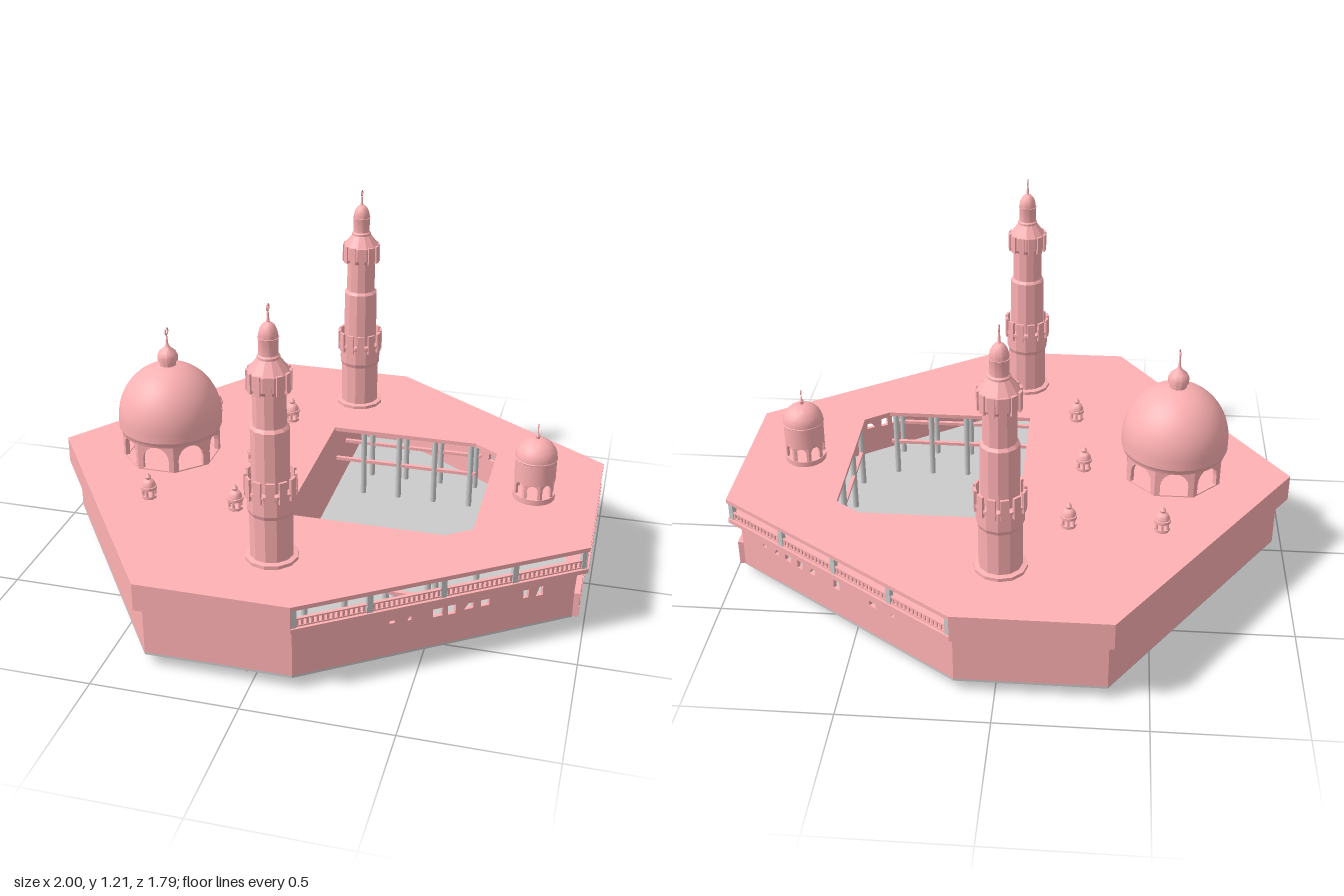
import * as THREE from 'three';
import { toCreasedNormals } from 'three/addons/utils/BufferGeometryUtils.js';

const pink = new THREE.MeshStandardMaterial({ color: 0xffb1b3, side: THREE.DoubleSide });
const grey = new THREE.MeshStandardMaterial({ color: 0xcccccc, side: THREE.DoubleSide });
const V2 = (a) => a.map(([x, y]) => new THREE.Vector2(x, y));
const ROOF = 0.33;

// Outlines run front to back around the right end, so walls face outward
const upper = [[-1, 0], [-0.38, 0.895], [0.14, 0.895], [1, 0.305], [1, -0.305], [0.14, -0.895], [-0.38, -0.895]];
const lower = [[-0.96, 0], [-0.364, 0.86], [0.134, 0.86], [0.96, 0.29], [0.96, -0.29], [0.134, -0.86], [-0.364, -0.86]];
const court = [[-0.032, 0.348], [0.52, 0.348], [0.608, 0.285], [0.608, -0.285], [0.52, -0.348], [-0.032, -0.348]];

function add(parent, name, geo, mat = pink, x = 0, y = 0, z = 0) {
  const m = new THREE.Mesh(geo, mat);
  m.name = name;
  m.position.set(x, y, z);
  parent.add(m);
  return m;
}
function group(parent, name, x = 0, y = 0, z = 0) {
  const g = new THREE.Group();
  g.name = name;
  g.position.set(x, y, z);
  parent.add(g);
  return g;
}
const box = (w, h, d) => new THREE.BoxGeometry(w, h, d);

function holed(outline, holes, depth) {
  const s = new THREE.Shape(V2(outline));
  holes.forEach((h) => s.holes.push(new THREE.Path(V2(h))));
  return new THREE.ExtrudeGeometry(s, { depth, bevelEnabled: false });
}
const slab = (outline, hole, y0, y1) =>
  holed(outline, hole ? [hole] : [], y1 - y0).rotateX(-Math.PI / 2).translate(0, y0, 0);
const rect = (u0, y0, u1, y1) => [[u0, y0], [u1, y0], [u1, y1], [u0, y1]];

// Group whose x runs from p to q, y is up and z points outward
function side(parent, name, p, q) {
  const g = group(parent, name, p[0], 0, p[1]);
  g.rotation.y = Math.atan2(p[1] - q[1], q[0] - p[0]);
  g.userData.length = Math.hypot(q[0] - p[0], q[1] - p[1]);
  return g;
}
function wall(g, y0, y1, t, holes = []) {
  add(g, 'wall', holed(rect(0, y0, g.userData.length, y1), holes, t), pink, 0, 0, -t);
}
function turned(points, segs = 32, crease = 0.5) {
  return toCreasedNormals(new THREE.LatheGeometry(V2(points), segs), crease);
}
// Rounded dome profile from rim to crown
function domeProfile(r, y0, h, n = 12) {
  return Array.from({ length: n + 1 }, (_, i) => {
    const a = (i / n) * Math.PI / 2;
    return [Math.max(0, r * Math.cos(a)), y0 + h * Math.sin(a)];
  });
}
// Ring of flat panels, each with an arched opening
function arcade(parent, apothem, y, h, n, open, t) {
  const g = group(parent, 'arcade', 0, y, 0);
  const w = 2 * apothem * Math.tan(Math.PI / n), r = w * open / 2;
  const spring = h * 0.9 - r, arch = [[-r, h * 0.04]];
  for (let i = 0; i <= 8; i++) {
    const a = Math.PI * (1 - i / 8);
    arch.push([r * Math.cos(a), spring + r * Math.sin(a)]);
  }
  arch.push([r, h * 0.04]);
  const geo = holed(rect(-w / 2, 0, w / 2, h), [arch], t).translate(0, 0, apothem - t);
  for (let i = 0; i < n; i++) add(g, 'archPanel', geo).rotation.y = (i / n) * Math.PI * 2;
}
function crescent(parent, y, r) {
  const geo = new THREE.TorusGeometry(r, r * 0.25, 6, 16, Math.PI * 1.6);
  geo.rotateZ(Math.PI * 0.7).rotateY(Math.PI / 2);
  add(parent, 'crescent', geo, pink, 0, y, 0);
}

function minaret(parent, z) {
  const g = group(parent, 'minaret', 0, 0, z);
  add(g, 'shaft', turned([[0, 0.33], [0.09, 0.33], [0.09, 0.342], [0.073, 0.345], [0.073, 0.5],
    [0.079, 0.515], [0.079, 0.575], [0.085, 0.58], [0.085, 0.59], [0.064, 0.59], [0.064, 0.8], [0.055, 0.81],
    [0.055, 0.925], [0.068, 0.94], [0.068, 0.99], [0.034, 1.035]], 12, 0.1));
  add(g, 'lantern', turned([[0.036, 1.033], [0.036, 1.04], [0.031, 1.045], [0.031, 1.09], [0.034, 1.1],
    ...domeProfile(0.031, 1.1, 0.05, 8).slice(0, -1), [0.005, 1.152], [0.003, 1.18], [0, 1.185]], 20));
  // Battlements around the balcony and ribs around the crown
  for (let i = 0; i < 12; i++) {
    const a = ((i + 0.5) / 12) * Math.PI * 2;
    for (const [r, y, h, w] of [[0.081, 0.6, 0.076, 0.028], [0.067, 0.961, 0.066, 0.021]]) {
      add(g, 'battlement', box(w, h, 0.009), pink, r * Math.sin(a), y, r * Math.cos(a)).rotation.y = a;
    }
  }
  crescent(g, 1.195, 0.01);
}

function kiosk(parent, x, z) {
  const g = group(parent, 'kiosk', x, ROOF, z);
  add(g, 'base', new THREE.CylinderGeometry(0.027, 0.027, 0.01, 8), pink, 0, 0.005, 0);
  for (let i = 0; i < 6; i++) {
    const a = (i / 6) * Math.PI * 2;
    add(g, 'pillar', new THREE.CylinderGeometry(0.005, 0.005, 0.03, 6), pink, 0.021 * Math.sin(a), 0.023, 0.021 * Math.cos(a));
  }
  add(g, 'cupola', turned([[0, 0.035], [0.029, 0.035], [0.029, 0.045], ...domeProfile(0.025, 0.046, 0.027, 6).slice(0, -1),
    [0.009, 0.072], [0.011, 0.08], [0.004, 0.09], [0, 0.095]], 16));
}

export function createModel() {
  const model = new THREE.Group();
  model.name = 'mosque';

  // Roof with courtyard opening, floor, and the ledge under the gallery
  add(model, 'roof', slab(upper, court, 0.315, ROOF));
  add(model, 'floor', slab(lower, null, 0.042, 0.05), grey);
  add(model, 'ledge', slab(upper, lower.map(([x, z]) => [x * 0.96, z * 0.96]), 0.232, 0.248));
  add(model, 'innerWall', box(0.008, 0.318, 1.62), pink, -0.036, 0.159, 0);

  // Small wall windows: distance along wall, width, height
  const windowsFront = [[0.34, 0.02, 0.01], [0.4, 0.014, 0.014], [0.5, 0.034, 0.03], [0.55, 0.028, 0.034],
    [0.61, 0.034, 0.022], [0.67, 0.03, 0.024], [0.82, 0.02, 0.03], [0.87, 0.026, 0.034]];
  const windowsBack = [[0.12, 0.02, 0.01], [0.18, 0.02, 0.02], [0.24, 0.03, 0.024], [0.3, 0.026, 0.03],
    [0.36, 0.03, 0.024], [0.48, 0.028, 0.034], [0.65, 0.03, 0.02], [0.74, 0.016, 0.014]];
  const cut = (list) => list.map(([u, w, h], i) => {
    const r = rect(u - w / 2, 0.175 - h / 2, u + w / 2, 0.175 + h / 2);
    if (i % 3 === 1) r[3][0] += w * 0.5;
    return r;
  });

  for (let i = 0; i < 7; i++) {
    const j = (i + 1) % 7;
    // Lower walls
    const low = side(model, 'lowerWall', lower[i], lower[j]);
    const holes = i === 2 ? cut(windowsFront) : i === 4 ? cut(windowsBack) : i === 3 ? [rect(0.02, 0.06, 0.56, 0.125)] : [];
    wall(low, 0.045, 0.235, 0.014, holes);

    // Upper walls: solid, or an open gallery on the three right-hand sides
    const up = side(model, 'upperWall', upper[i], upper[j]);
    const L = up.userData.length;
    if (i < 2 || i > 4) {
      wall(up, 0.232, 0.328, 0.014);
      continue;
    }
    up.name = 'gallery';
    add(up, 'lintel', box(L, 0.012, 0.02), pink, L / 2, 0.321, -0.012);
    add(up, 'railTop', box(L, 0.005, 0.008), pink, L / 2, 0.277, -0.012);
    add(up, 'railBottom', box(L, 0.005, 0.008), pink, L / 2, 0.252, -0.012);
    const n = Math.round(L / 0.017);
    for (let k = 0; k < n; k++) add(up, 'baluster', box(0.008, 0.022, 0.005), pink, (k + 0.5) * L / n, 0.264, -0.012);
    const posts = i === 3 ? 1 : 4;
    for (let k = 0; k <= posts; k++) {
      add(up, 'post', box(0.02, 0.068, 0.016), grey, 0.012 + (k / posts) * (L - 0.024), 0.282, -0.014);
    }
  }

  // Entrance frame with side panes and a central lattice
  const entry = side(model, 'entrance', [0.98, 0.29], [0.98, -0.29]);
  wall(entry, 0.045, 0.137, 0.02, [
    [[0.015, 0.06], [0.05, 0.06], [0.015, 0.115]], [[0.065, 0.06], [0.13, 0.06], [0.13, 0.122], [0.03, 0.122]],
    rect(0.14, 0.056, 0.41, 0.126), rect(0.425, 0.056, 0.455, 0.126),
    [[0.465, 0.056], [0.505, 0.056], [0.495, 0.126], [0.465, 0.126]], [[0.52, 0.056], [0.56, 0.056], [0.56, 0.126], [0.51, 0.126]]]);
  for (let k = 1; k < 16; k++) add(entry, 'latticeBar', box(0.003, 0.07, 0.004), pink, 0.14 + k * 0.27 / 16, 0.091, -0.008);
  for (let k = 1; k < 5; k++) add(entry, 'latticeRail', box(0.27, 0.003, 0.004), pink, 0.275, 0.056 + k * 0.014, -0.008);

  // Columns and cross beams around the courtyard
  const column = new THREE.CylinderGeometry(0.011, 0.011, 0.266, 10);
  for (const s of [-1, 1]) {
    for (const z of [0.365, 0.52]) {
      for (const x of [0.08, 0.22, 0.36, 0.5]) add(model, 'column', column, grey, x, 0.183, s * z);
      add(model, 'beam', box(0.55, 0.012, 0.014), pink, 0.245, 0.19, s * z);
    }
    for (const z of [0.1, 0.27]) add(model, 'column', column, grey, 0.625, 0.183, s * z);
  }
  add(model, 'beam', box(0.014, 0.012, 0.56), pink, 0.625, 0.19, 0);

  // Great dome
  const dome = group(model, 'greatDome', -0.575, 0, 0);
  arcade(dome, 0.166, ROOF, 0.105, 8, 0.72, 0.016);
  add(dome, 'shell', turned([[0.15, 0.433], [0.183, 0.433], [0.186, 0.445], [0.19, 0.452],
    ...domeProfile(0.19, 0.485, 0.202, 20).slice(0, -2), [0.03, 0.688], [0.03, 0.7], [0.037, 0.703], [0.037, 0.722],
    [0.03, 0.737], [0.012, 0.752], [0.005, 0.765], [0.002, 0.8], [0, 0.8]], 48));
  crescent(dome, 0.814, 0.012);

  // Lesser dome by the entrance
  const small = group(model, 'lesserDome', 0.777, 0, 0);
  add(small, 'base', new THREE.CylinderGeometry(0.074, 0.074, 0.02, 24), pink, 0, 0.34, 0);
  arcade(small, 0.067, 0.345, 0.062, 8, 0.66, 0.01);
  add(small, 'shell', turned([[0.055, 0.403], [0.072, 0.403], [0.072, 0.482], [0.075, 0.485],
    ...domeProfile(0.073, 0.488, 0.068).slice(0, -1), [0.007, 0.556], [0.008, 0.567], [0.003, 0.575], [0, 0.595]], 32));
  crescent(small, 0.602, 0.007);

  // Minarets and roof kiosks
  for (const z of [-0.618, 0.618]) minaret(model, z);
  for (const x of [-0.53, -0.212]) for (const z of [-0.372, 0.353]) kiosk(model, x, z);
  kiosk(model, -0.252, -0.004);

  return model;
}
